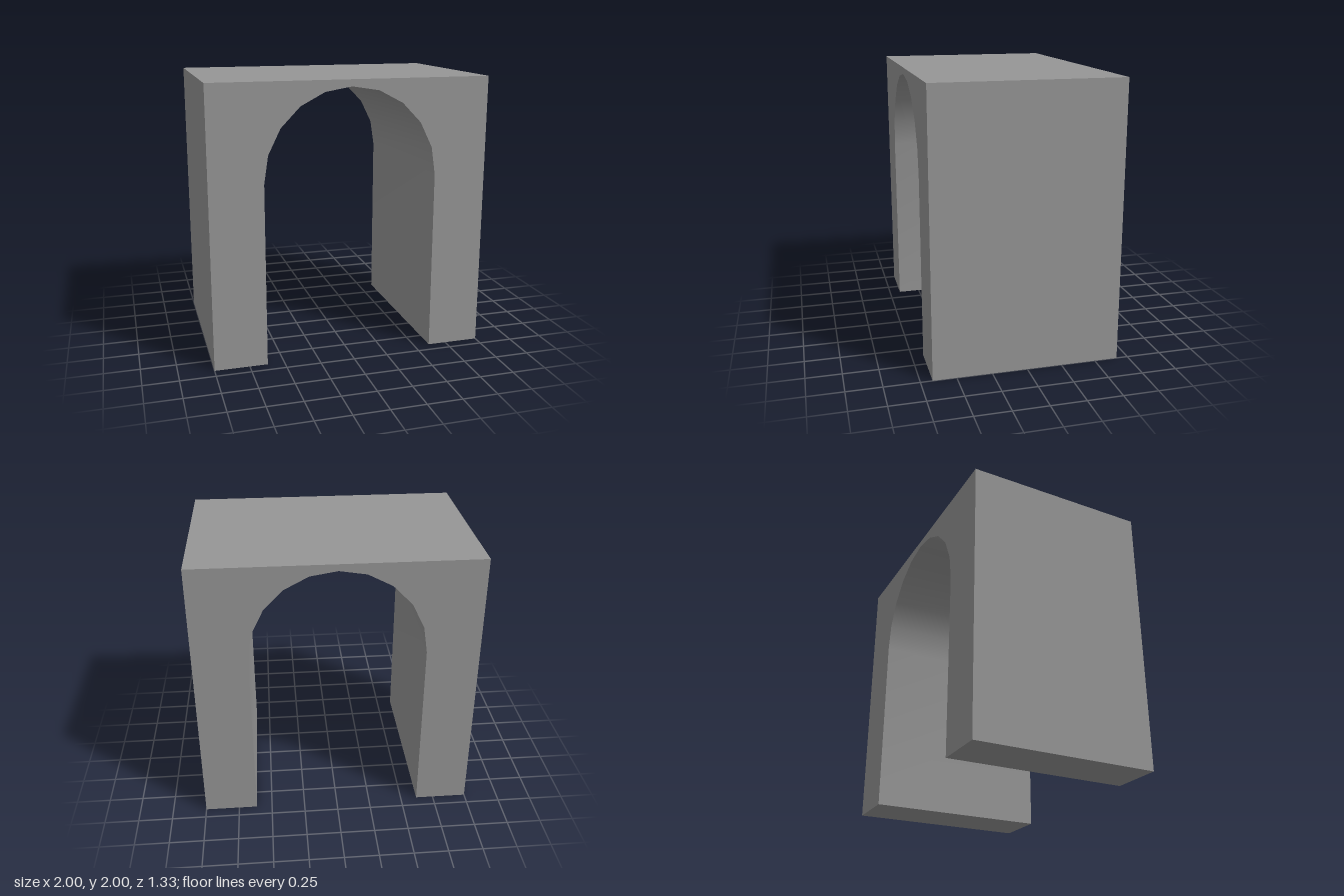
import * as THREE from 'three';
import { toCreasedNormals } from 'three/addons/utils/BufferGeometryUtils.js';

export function createModel() {
  const group = new THREE.Group();
  group.name = 'archway';
  const stone = new THREE.MeshStandardMaterial({ color: 0x969696 });
  stone.name = 'grey stone';

  const depth = 1.333, centre = -0.003, rx = 0.618, ry = 0.64, spring = 1.312, steps = 10;

  // Block outline, with the arched opening cut up from the ground
  const outline = new THREE.Shape();
  outline.moveTo(centre + rx, 0);
  outline.lineTo(1, 0);
  outline.lineTo(1, 2);
  outline.lineTo(-1, 2);
  outline.lineTo(-1, 0);
  outline.lineTo(centre - rx, 0);
  for (let i = steps; i >= 0; i--) {
    const a = (i / steps) * Math.PI;
    outline.lineTo(centre + rx * Math.cos(a), spring + ry * Math.sin(a));
  }
  outline.closePath();

  // Passage with a smooth vault and sharp outer edges
  const geometry = new THREE.ExtrudeGeometry(outline, { depth, bevelEnabled: false });
  geometry.translate(0, 0, -depth / 2);
  const arch = new THREE.Mesh(toCreasedNormals(geometry, 0.6), stone);
  arch.name = 'archBlock';
  group.add(arch);
  return group;
}
